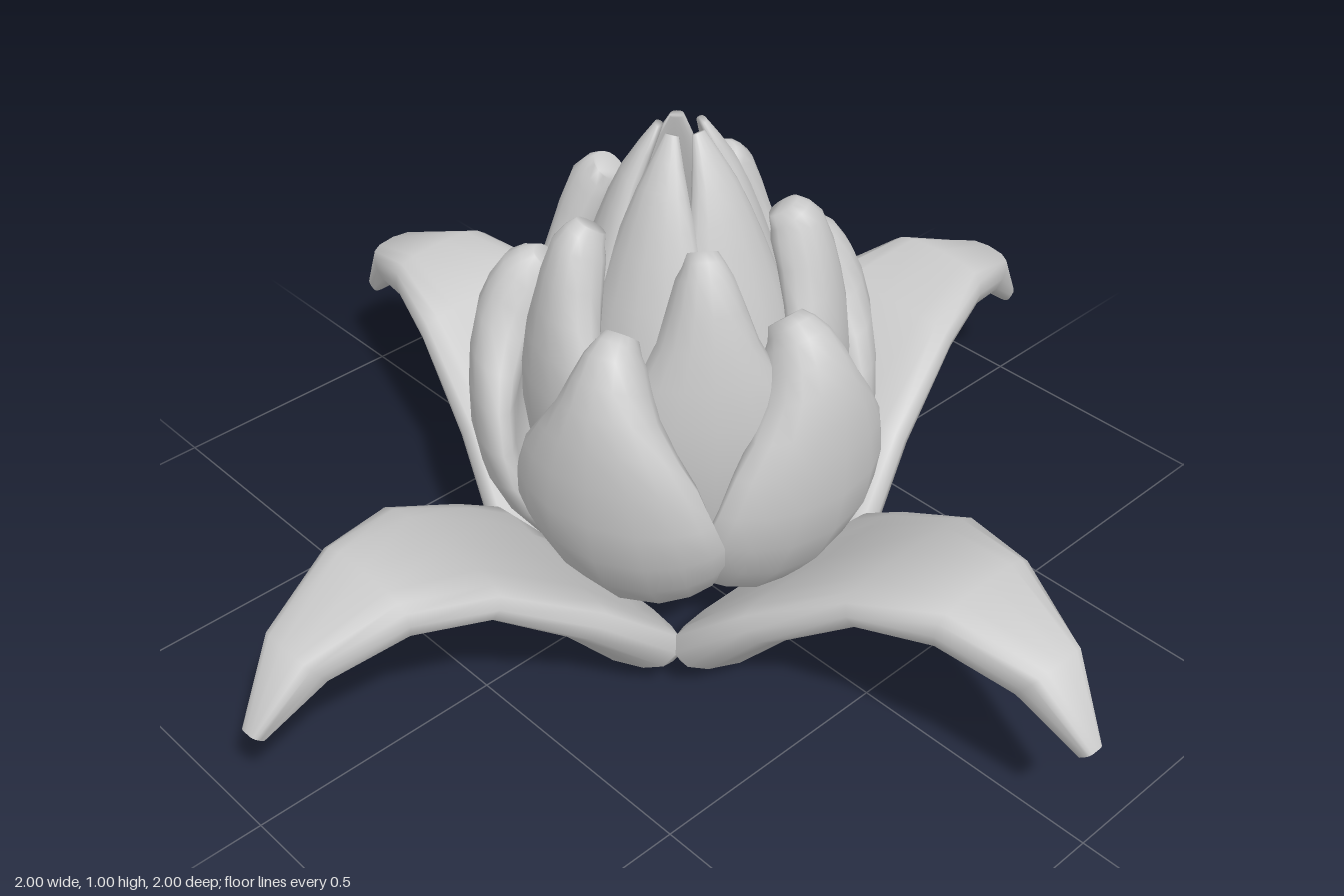
import * as THREE from 'three';

const material = new THREE.MeshStandardMaterial({ color: 0xcccccc });
const SIDES = 16;

// Solid petal lofted along +z (outward) and +y (up).
// Each station: [radius, height, half width, thickness, cup depth of the edges]
// roundness 1 gives an elliptical section, smaller values a boxier one
function petalGeometry(stations, steps, roundness, lean) {
  const path = new THREE.CatmullRomCurve3(stations.map(s => new THREE.Vector3(s[0], s[1], 0)));
  const size = new THREE.CatmullRomCurve3(stations.map(s => new THREE.Vector3(s[2], s[3], s[4])));
  const soften = v => Math.sign(v) * Math.abs(v) ** roundness;
  const pos = [], index = [];
  for (let i = 0; i <= steps; i++) {
    const p = path.getPoint(i / steps), d = path.getTangent(i / steps);
    const { x: w, y: t, z: cup } = size.getPoint(i / steps);
    for (let j = 0; j < SIDES; j++) {
      const a = (j / SIDES) * Math.PI * 2;
      const c = soften(Math.cos(a)), s = soften(Math.sin(a));
      const off = (s * t) / 2 - cup * c * c;
      pos.push(c * w, p.y - d.x * off, p.x + d.y * off + lean * c * w);
    }
  }
  for (let i = 0; i < steps; i++) {
    for (let j = 0; j < SIDES; j++) {
      const k = (j + 1) % SIDES, n = i * SIDES, m = n + SIDES;
      index.push(n + j, m + j, m + k, n + j, m + k, n + k);
    }
  }
  // end caps
  const last = steps * SIDES;
  for (let j = 1; j < SIDES - 1; j++) {
    index.push(0, j, j + 1, last, last + j + 1, last + j);
  }
  const geo = new THREE.BufferGeometry();
  geo.setAttribute('position', new THREE.Float32BufferAttribute(pos, 3));
  geo.setIndex(index);
  geo.computeVertexNormals();
  return geo;
}

// Ring of equal petals; the first one points at startDeg, measured from +x towards +z
function petalRing(name, geometry, count, startDeg) {
  const ring = new THREE.Group();
  ring.name = name + 'Ring';
  for (let i = 0; i < count; i++) {
    const petal = new THREE.Mesh(geometry, material);
    petal.name = name;
    petal.rotation.y = Math.PI / 2 - THREE.MathUtils.degToRad(startDeg + (360 / count) * i);
    ring.add(petal);
  }
  return ring;
}

// Bud petals wrap around the axis, so their cup follows from radius and width
const wrap = stations => stations.map(([r, y, w, t]) => [r, y, w, t, (w * w) / (2 * Math.max(r, 0.12))]);

export function createModel() {
  const flower = new THREE.Group();
  flower.name = 'flower';

  // four large leaves that rise from a square base and curl down at the tip
  const leaf = petalGeometry([
    [0.205, 0.044, 0.215, 0.085, 0],
    [0.295, 0.085, 0.27, 0.11, 0.045],
    [0.41, 0.22, 0.222, 0.095, 0.015],
    [0.585, 0.357, 0.172, 0.08, 0],
    [0.735, 0.385, 0.122, 0.09, -0.005],
    [0.885, 0.33, 0.067, 0.09, -0.005],
    [0.985, 0.215, 0.02, 0.035, 0],
  ], 6, 0.6, 0);
  flower.add(petalRing('baseLeaf', leaf, 4, 0));

  // three nested rings of bud petals
  const outer = petalGeometry(wrap([
    [0.1, 0.08, 0.1, 0.05],
    [0.25, 0.17, 0.18, 0.08],
    [0.335, 0.32, 0.215, 0.09],
    [0.345, 0.48, 0.175, 0.1],
    [0.315, 0.6, 0.095, 0.13],
    [0.275, 0.68, 0.055, 0.12],
    [0.245, 0.712, 0.03, 0.065],
  ]), 12, 0.85, 0.07);
  flower.add(petalRing('outerPetal', outer, 5, 14));

  const middle = petalGeometry(wrap([
    [0.08, 0.1, 0.06, 0.05],
    [0.2, 0.2, 0.13, 0.07],
    [0.265, 0.4, 0.19, 0.07],
    [0.272, 0.56, 0.16, 0.075],
    [0.24, 0.7, 0.09, 0.1],
    [0.205, 0.815, 0.05, 0.1],
    [0.18, 0.852, 0.026, 0.06],
  ]), 12, 0.85, 0.07);
  flower.add(petalRing('middlePetal', middle, 5, 50));

  const inner = petalGeometry(wrap([
    [0.065, 0.12, 0.05, 0.04],
    [0.15, 0.25, 0.1, 0.05],
    [0.2, 0.45, 0.14, 0.05],
    [0.185, 0.62, 0.135, 0.05],
    [0.13, 0.8, 0.09, 0.05],
    [0.085, 0.91, 0.05, 0.045],
    [0.04, 1.0, 0.013, 0.016],
  ]), 12, 0.85, 0.06);
  flower.add(petalRing('innerPetal', inner, 5, 14));

  return flower;
}
